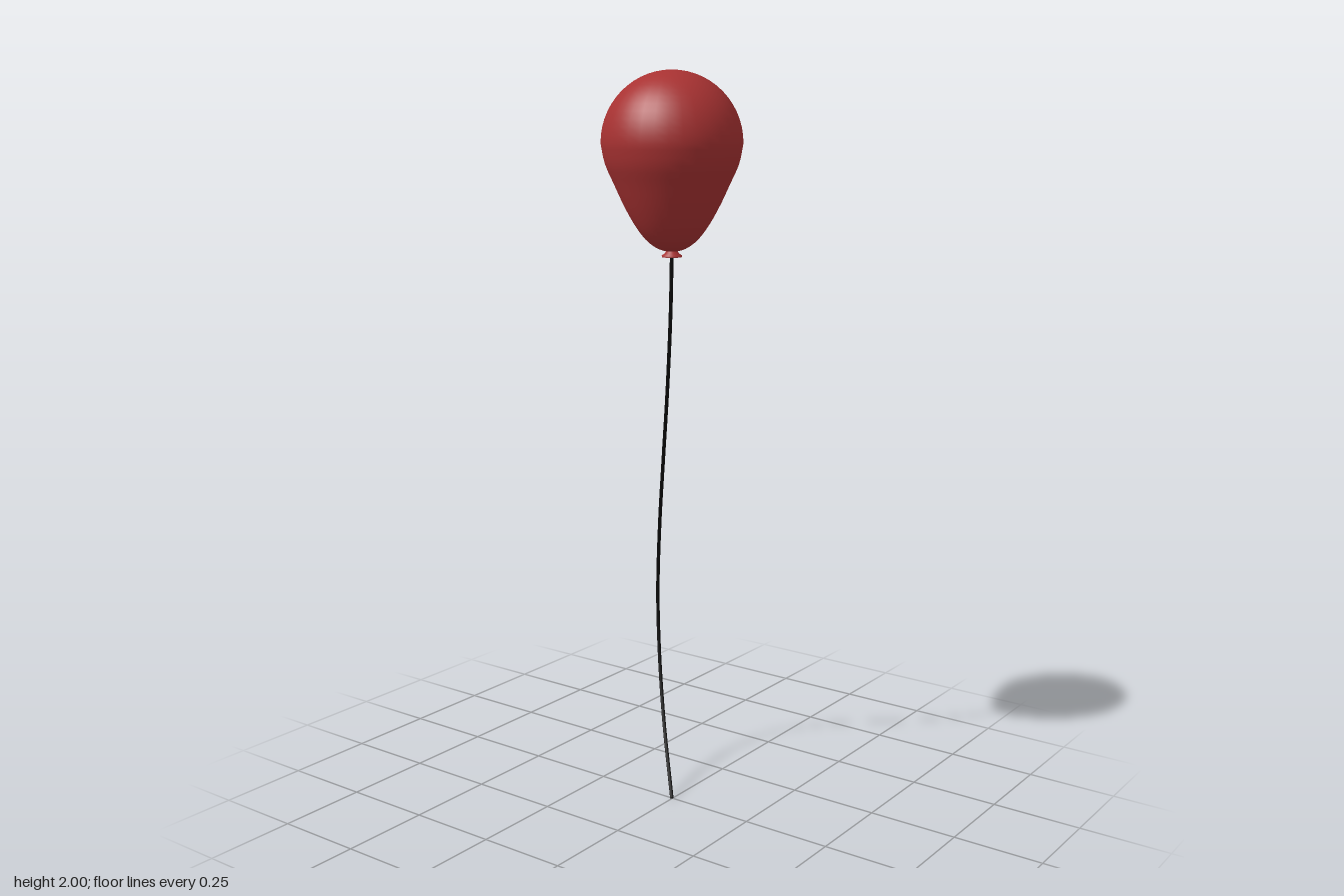
import * as THREE from 'three';

const CX = -0.006, CZ = 0.002; // balloon axis

function add(group, name, geometry, material) {
  const mesh = new THREE.Mesh(geometry, material);
  mesh.name = name;
  group.add(mesh);
  return mesh;
}

export function createModel() {
  const model = new THREE.Group();
  model.name = 'balloonOnString';
  const red = new THREE.MeshStandardMaterial({ color: 0xa83232 });
  const redThin = new THREE.MeshStandardMaterial({ color: 0xa83232, side: THREE.DoubleSide });
  const black = new THREE.MeshStandardMaterial({ color: 0x0a0a0a });

  // Balloon: tapered lower part, then a spherical crown
  const R = 0.184, midY = 1.816;
  const lower = new THREE.SplineCurve([
    [0.006, 1.538], [0.035, 1.545], [0.066, 1.567], [0.095, 1.604],
    [0.124, 1.655], [0.152, 1.715], [0.174, 1.765], [R, midY],
  ].map(([r, y]) => new THREE.Vector2(r, y)));
  const profile = [new THREE.Vector2(0, 1.538), ...lower.getPoints(20)];
  for (let i = 1; i <= 14; i++) {
    const a = (i / 14) * Math.PI / 2;
    profile.push(new THREE.Vector2(i === 14 ? 0 : R * Math.cos(a), midY + R * Math.sin(a)));
  }
  add(model, 'balloon', new THREE.LatheGeometry(profile, 32), red).position.set(CX, 0, CZ);

  // Knot: pinched neck flaring into a small open lip
  const neck = [[0.026, 1.524], [0.027, 1.528], [0.018, 1.534], [0.014, 1.543]]
    .map(([r, y]) => new THREE.Vector2(r, y));
  add(model, 'knot', new THREE.LatheGeometry(neck, 24), redThin).position.set(CX, 0, CZ);

  // String: an S-shaped sway in the diagonal plane; each pair is sway, height
  const path = new THREE.CatmullRomCurve3([
    [0, 1.54], [0.016, 1.37], [0.056, 1.16], [0.107, 0.963],
    [0.163, 0.735], [0.189, 0.52], [0.165, 0.34], [0.106, 0.175], [0, 0.004],
  ].map(([s, y]) => new THREE.Vector3(CX + s, y, CZ - s)));
  add(model, 'string', new THREE.TubeGeometry(path, 64, 0.005, 8), black);

  // Caps closing the string ends
  for (const [name, t, sign] of [['stringTopCap', 0, -1], ['stringBottomCap', 1, 1]]) {
    const cap = add(model, name, new THREE.CircleGeometry(0.005, 8), black);
    const p = path.getPoint(t);
    cap.position.copy(p);
    cap.lookAt(p.clone().addScaledVector(path.getTangent(t), sign));
  }
  return model;
}
